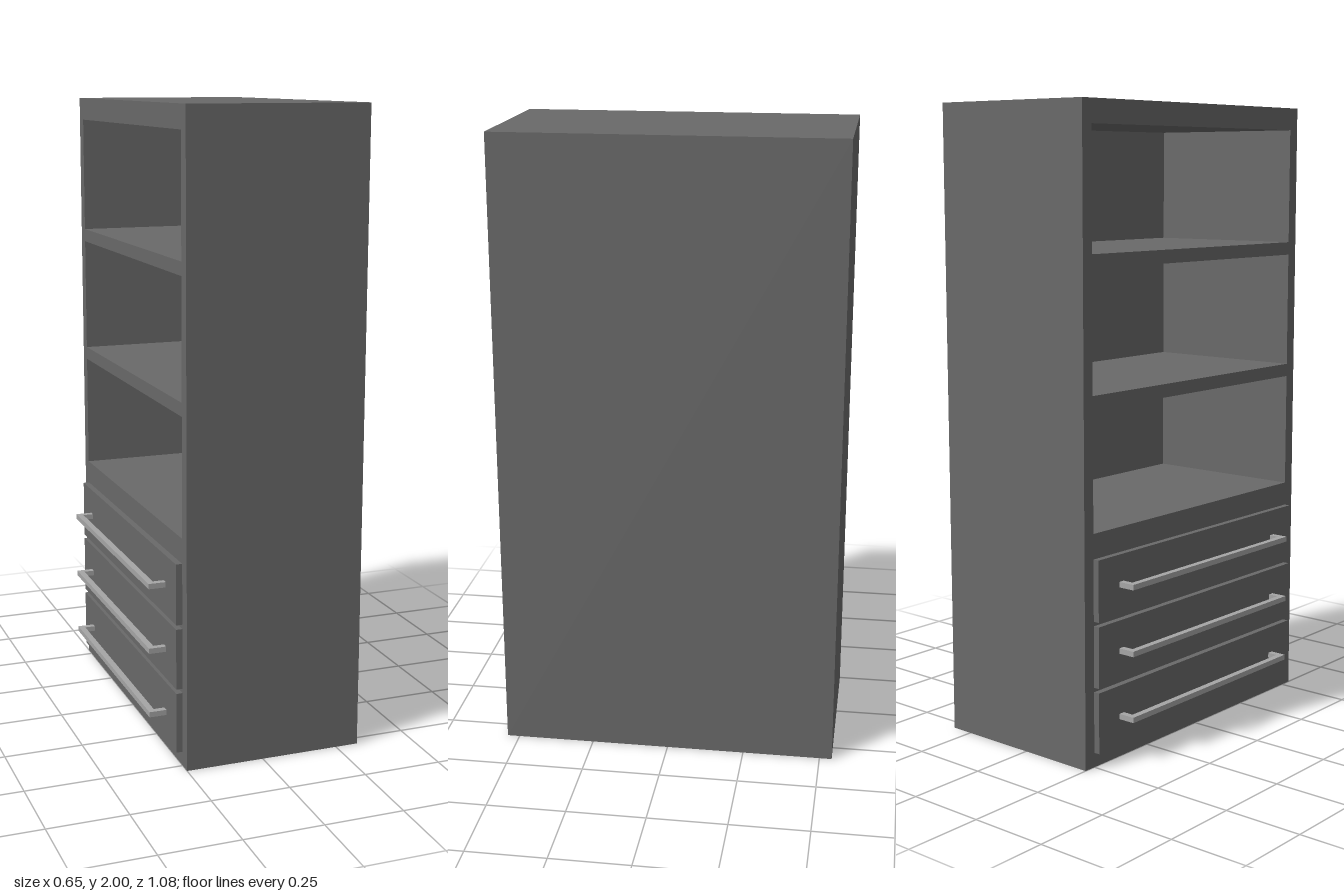
import * as THREE from 'three';

const FRONT = -0.25, BACK = 0.323, WIDTH = 1.08, HEIGHT = 2;
const BACK_PANEL = 0.03;

export function createModel() {
  const group = new THREE.Group();
  const body = new THREE.MeshStandardMaterial({ name: 'dark grey', color: 0x696969 });
  const metal = new THREE.MeshStandardMaterial({ name: 'light grey', color: 0xa6a6a6 });

  const add = (parent, name, geometry, material) => {
    const mesh = new THREE.Mesh(geometry, material);
    mesh.name = name;
    parent.add(mesh);
    return mesh;
  };
  // Box given by its x, y and z ranges
  const box = (parent, name, material, [x0, x1], [y0, y1], [z0, z1]) =>
    add(parent, name, new THREE.BoxGeometry(x1 - x0, y1 - y0, z1 - z0), material)
      .position.set((x0 + x1) / 2, (y0 + y1) / 2, (z0 + z1) / 2);

  const rectangle = (Kind, w, y0, y1) => {
    const r = new Kind();
    r.moveTo(-w / 2, y0);
    r.lineTo(w / 2, y0);
    r.lineTo(w / 2, y1);
    r.lineTo(-w / 2, y1);
    r.closePath();
    return r;
  };

  // Carcass with three open shelf bays facing -x
  const outline = rectangle(THREE.Shape, WIDTH, 0, HEIGHT);
  for (let i = 0; i < 3; i++) {
    const floor = 0.728 + i * 0.414;
    outline.holes.push(rectangle(THREE.Path, 1.0, floor, floor + 0.372));
  }
  const carcass = new THREE.ExtrudeGeometry(outline, {
    depth: BACK - BACK_PANEL - FRONT, bevelEnabled: false,
  });
  carcass.rotateY(Math.PI / 2).translate(FRONT, 0, 0);
  add(group, 'carcass', carcass, body);
  box(group, 'backPanel', body, [BACK - BACK_PANEL, BACK], [0, HEIGHT], [-WIDTH / 2, WIDTH / 2]);

  // Three drawers, each with a long bar handle on two posts
  for (let i = 0; i < 3; i++) {
    const drawer = new THREE.Group();
    drawer.name = 'drawer' + (i + 1);
    group.add(drawer);
    const y = 0.142 + i * 0.206;
    box(drawer, 'drawerFront', body, [-0.27, FRONT], [y - 0.096, y + 0.096], [-0.5, 0.5]);
    const hy = [0.131 + i * 0.2085, 0.148 + i * 0.2085];
    box(drawer, 'handleBar', metal, [-0.325, -0.305], hy, [-0.405, 0.405]);
    for (const z of [-0.395, 0.395])
      box(drawer, 'handlePost', metal, [-0.305, -0.27], hy, [z - 0.01, z + 0.01]);
  }
  return group;
}
